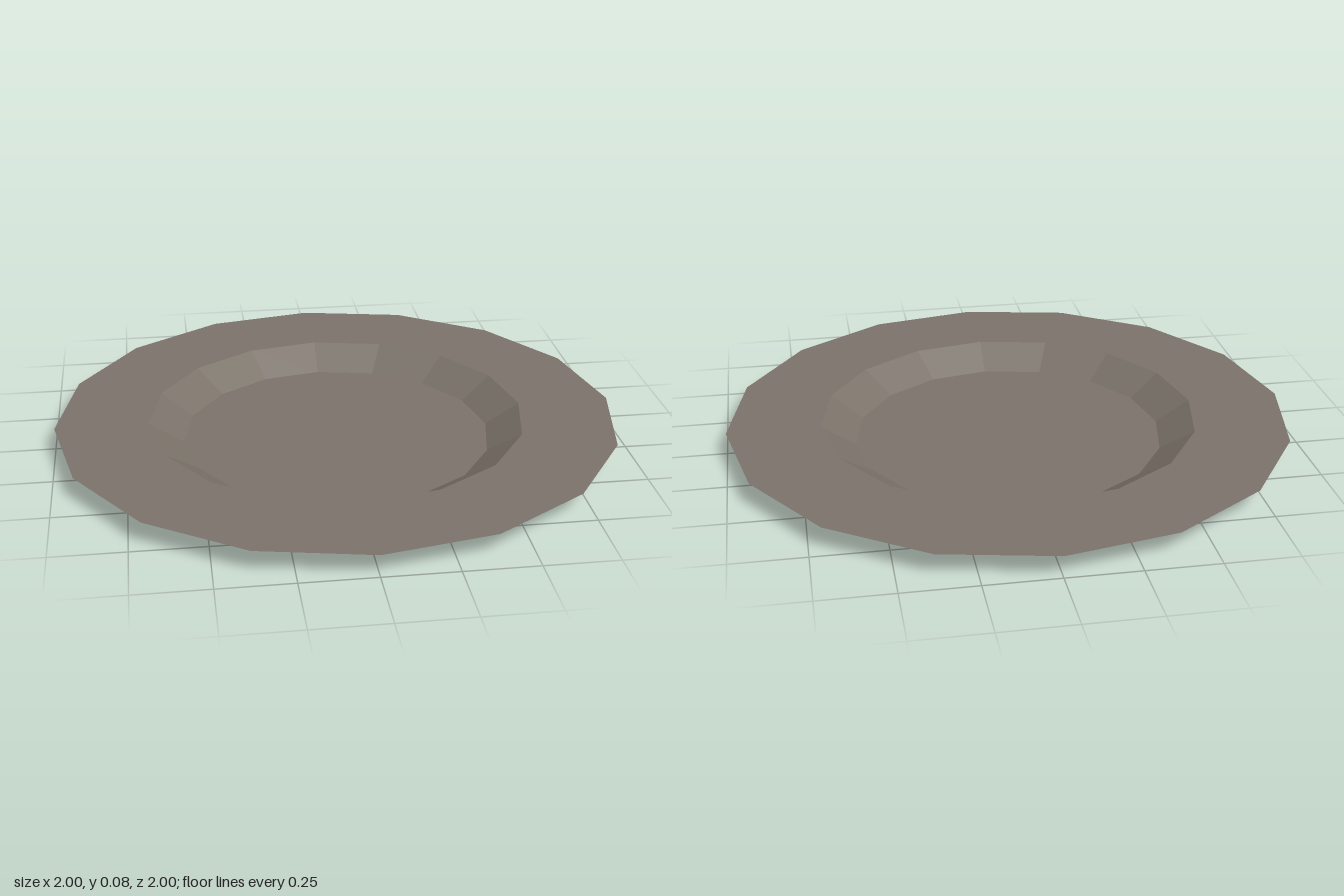
import * as THREE from 'three';

const SIDES = 16;
const FLOOR_RADIUS = 0.55;
const WELL_RADIUS = 0.67;
const RIM_RADIUS = 1;
const HEIGHT = 0.077;

export function createModel() {
  const stoneware = new THREE.MeshStandardMaterial({
    color: 0x7b736a, flatShading: true, side: THREE.DoubleSide,
  });
  stoneware.name = 'warm grey stoneware';

  const plate = new THREE.Group();
  plate.name = 'plate';

  // Each part is a thin band of revolution, listed from outside to inside so it faces up
  const addBand = (name, outer, inner) => {
    const points = [outer, inner].map(([r, y]) => new THREE.Vector2(r, y));
    const band = new THREE.Mesh(new THREE.LatheGeometry(points, SIDES), stoneware);
    band.name = name;
    plate.add(band);
  };

  // Flat wide rim
  addBand('rim', [RIM_RADIUS, HEIGHT], [WELL_RADIUS, HEIGHT]);
  // Sloping wall of the well
  addBand('wellWall', [WELL_RADIUS, HEIGHT], [FLOOR_RADIUS, 0]);
  // Flat floor
  addBand('floor', [FLOOR_RADIUS, 0], [0, 0]);

  return plate;
}
